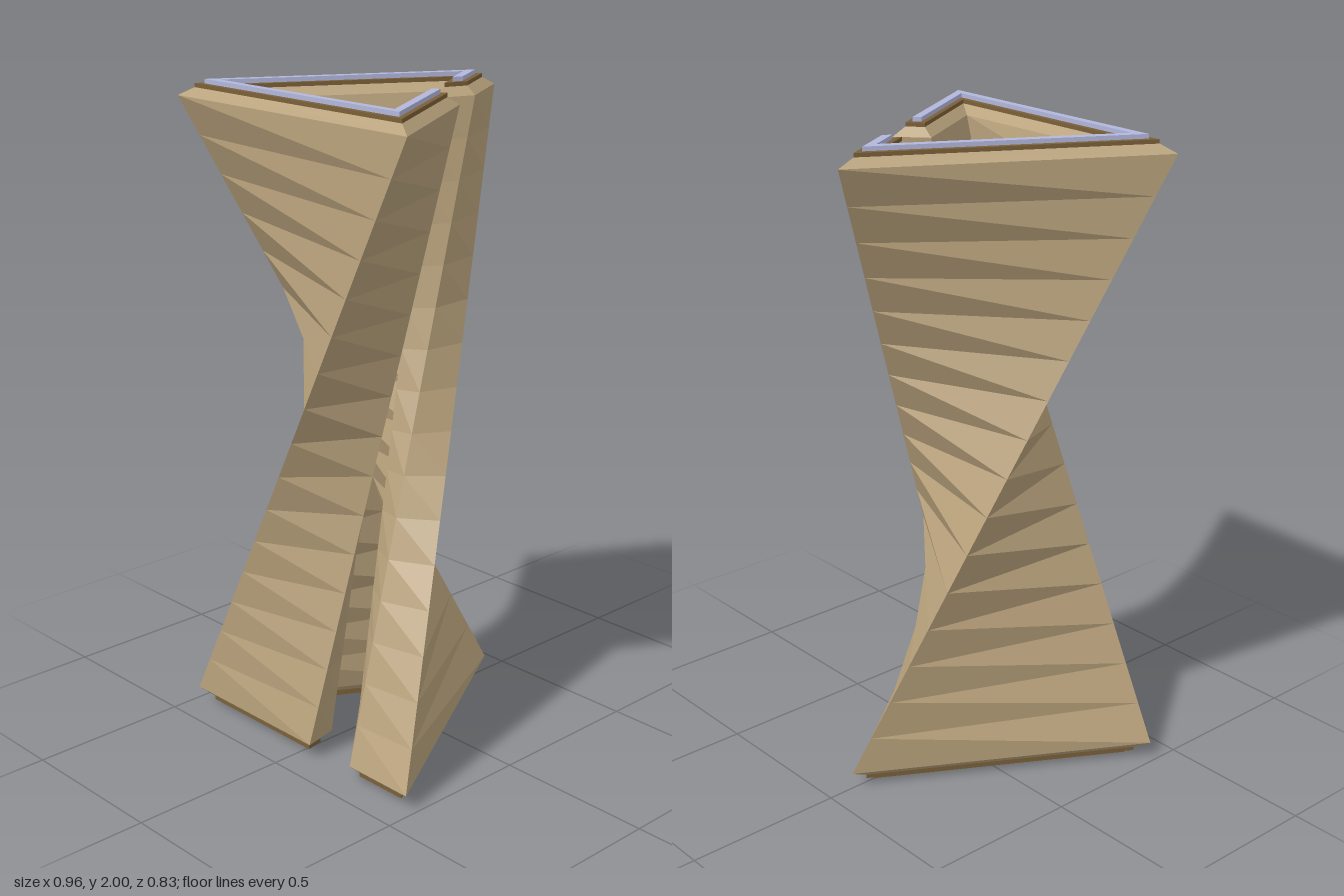
import * as THREE from 'three';

const CENTER_Z = 0.138;          // axis of the triangle, so the bounds centre on z = 0
const OUTER = 0.276, INNER = 0.166; // inradius of the outer and inner wall
const SLOT = [0.5625, 0.75];     // slot limits along the front side
const LAYERS = 16;

// C-shaped outline: five outer corners, then five inner corners in reverse
function outline() {
  const chain = (d) => {
    const w = Math.sqrt(3) * d;
    const slot = SLOT.map((s) => new THREE.Vector2(-w + 2 * w * s, d));
    return [slot[1], new THREE.Vector2(w, d), new THREE.Vector2(0, -2 * d),
      new THREE.Vector2(-w, d), slot[0]];
  };
  return [...chain(OUTER), ...chain(INNER).reverse()];
}

// Shrink the outline by a constant distance with mitred corners
function inset(points, e) {
  const n = points.length;
  const normal = (a, b) => {
    const d = b.clone().sub(a).normalize();
    return new THREE.Vector2(d.y, -d.x);
  };
  return points.map((p, i) => {
    const n1 = normal(points[(i + n - 1) % n], p);
    const n2 = normal(p, points[(i + 1) % n]);
    const m = n1.clone().add(n2);
    return p.clone().addScaledVector(m, e / (1 + n1.dot(n2)));
  });
}

// Outline placed in space; turn = 0 at the base, 1 (a third of a circle) at the top
function ring(e, y, turn) {
  const a = turn * Math.PI * 2 / 3;
  return inset(outline(), e).map((p) => new THREE.Vector3(
    p.x * Math.cos(a) + p.y * Math.sin(a), y,
    -p.x * Math.sin(a) + p.y * Math.cos(a) + CENTER_Z));
}

function meshFrom(name, triangles, material) {
  const geometry = new THREE.BufferGeometry().setFromPoints(triangles);
  geometry.computeVertexNormals();
  const mesh = new THREE.Mesh(geometry, material);
  mesh.name = name;
  return mesh;
}

// Walls joining a stack of rings, listed from low to high
function walls(rings) {
  const out = [];
  for (let j = 0; j + 1 < rings.length; j++) {
    const lo = rings[j], hi = rings[j + 1], n = lo.length;
    for (let i = 0; i < n; i++) {
      const k = (i + 1) % n;
      out.push(lo[i], lo[k], hi[i], lo[k], hi[k], hi[i]);
    }
  }
  return out;
}

// Flat end face, filled between the outer and inner corners
function endFace(r, up) {
  const out = [];
  for (let i = 0; i < 4; i++) {
    const a = r[i], b = r[i + 1], c = r[8 - i], d = r[9 - i];
    if (up) out.push(a, b, c, a, c, d);
    else out.push(a, c, b, a, d, c);
  }
  return out;
}

export function createModel() {
  const tan = new THREE.MeshStandardMaterial({ color: 0xb9a27c });
  tan.name = 'tan';
  const brown = new THREE.MeshStandardMaterial({ color: 0x7b6038 });
  brown.name = 'brown';
  const lilac = new THREE.MeshStandardMaterial({ color: 0xb2b7dc });
  lilac.name = 'lilac';

  const group = new THREE.Group();
  group.name = 'twistedTriangularTube';
  const RIM = 0.027, STRIP = 0.0425;

  // Twisted wall: every corner runs in a straight line from base to top
  const low = ring(0, 0.05, 0), high = ring(0, 1.95, 1);
  const layers = [];
  for (let j = 0; j <= LAYERS; j++) {
    layers.push(low.map((p, i) => p.clone().lerp(high[i], j / LAYERS)));
  }
  group.add(meshFrom('twistedWall', walls(layers), tan));

  // Base: strip, stepped rim and chamfer
  const base = [ring(STRIP, 0, 0), ring(STRIP, 0.013, 0), ring(RIM, 0.013, 0), ring(RIM, 0.025, 0), low];
  group.add(meshFrom('baseStrip', endFace(base[0], false), lilac));
  group.add(meshFrom('baseRim', walls(base.slice(0, 4)), brown));
  group.add(meshFrom('baseChamfer', walls(base.slice(3)), tan));

  // Top: chamfer, stepped rim and raised strip
  const top = [high, ring(RIM, 1.975, 1), ring(RIM, 1.987, 1), ring(STRIP, 1.987, 1), ring(STRIP, 2, 1)];
  group.add(meshFrom('topChamfer', walls(top.slice(0, 2)), tan));
  group.add(meshFrom('topRim', walls(top.slice(1, 4)), brown));
  group.add(meshFrom('topStrip', [...walls(top.slice(3)), ...endFace(top[4], true)], lilac));

  return group;
}
